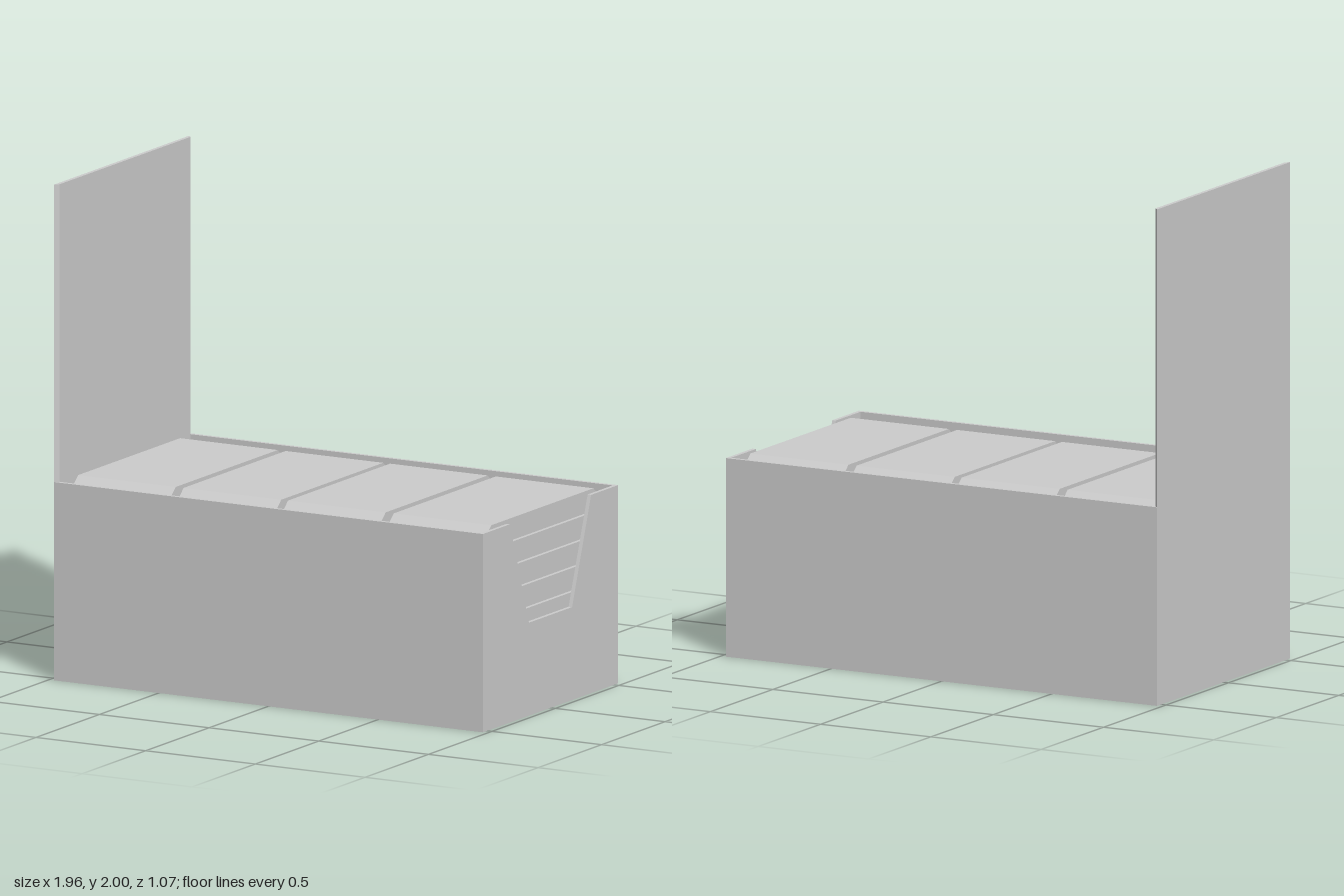
import * as THREE from 'three';

const material = new THREE.MeshStandardMaterial({ color: 0xcccccc, flatShading: true, side: THREE.DoubleSide });
const X = 0.978, Z = 0.533, H = 0.8, T = 0.016;

function add(parent, name, geometry, x = 0, y = 0, z = 0) {
  const mesh = new THREE.Mesh(geometry, material);
  mesh.name = name;
  mesh.position.set(x, y, z);
  parent.add(mesh);
  return mesh;
}

function extrude(points, depth) {
  const shape = new THREE.Shape(points.map(([x, y]) => new THREE.Vector2(x, y)));
  return new THREE.ExtrudeGeometry(shape, { depth, bevelEnabled: false });
}

// Wrapped bar: bevelled body with a thin zigzag crimp at both ends
const W = 0.445, BAR_H = 0.09;
const bodyGeometry = extrude([
  [-0.402, BAR_H / 2], [-0.453, 0], [-0.402, -BAR_H / 2],
  [0.402, -BAR_H / 2], [0.453, 0], [0.402, BAR_H / 2],
], W).rotateY(Math.PI / 2).translate(-W / 2, 0, 0);

function crimpGeometry() {
  const teeth = 5, edge = [[-W / 2, 0.44], [W / 2, 0.44]];
  for (let i = teeth * 2; i >= 0; i--) {
    edge.push([-W / 2 + (W * i) / (teeth * 2), i % 2 ? 0.487 : 0.466]);
  }
  return extrude(edge, 0.004).rotateX(Math.PI / 2).translate(0, 0.002, 0);
}
const crimp = crimpGeometry();

function createBar() {
  const bar = new THREE.Group();
  bar.name = 'wrappedBar';
  add(bar, 'barBody', bodyGeometry);
  add(bar, 'frontCrimp', crimp);
  add(bar, 'backCrimp', crimp).rotation.y = Math.PI;
  return bar;
}

export function createModel() {
  const model = new THREE.Group();
  model.name = 'displayBox';

  // Carton: floor, long walls, plain end and notched end
  const carton = new THREE.Group();
  carton.name = 'carton';
  model.add(carton);
  add(carton, 'floor', new THREE.BoxGeometry(2 * X, T, 2 * Z), 0, T / 2, 0);
  for (const s of [1, -1]) {
    add(carton, s > 0 ? 'frontWall' : 'backWall',
      new THREE.BoxGeometry(2 * X, H - T, T), 0, (H + T) / 2, s * (Z - T / 2));
  }
  add(carton, 'closedEndWall', new THREE.BoxGeometry(T, H - T, 2 * (Z - T)), -X + T / 2, (H + T) / 2, 0);
  const zi = Z - T;
  add(carton, 'notchedEndWall', extrude([
    [-zi, T], [zi, T], [zi, H], [0.32, H], [0.17, 0.375],
    [-0.17, 0.375], [-0.32, H], [-zi, H],
  ], T).rotateY(Math.PI / 2), X - T);

  // Upright display panel with mitred side edges
  add(model, 'displayPanel', extrude([
    [-X, -Z], [-X + T, -zi], [-X + T, zi], [-X, Z],
  ], 2 - H).rotateX(-Math.PI / 2), 0, H, 0);

  // Four stacks of eight bars
  const bars = new THREE.Group();
  bars.name = 'bars';
  model.add(bars);
  const pitch = 0.0968;
  for (const x of [-0.731, -0.25, 0.226, 0.708]) {
    for (let layer = 0; layer < 8; layer++) {
      const bar = createBar();
      bar.position.set(x, 0.803 - BAR_H / 2 - layer * pitch, -0.018);
      bars.add(bar);
    }
  }
  return model;
}
